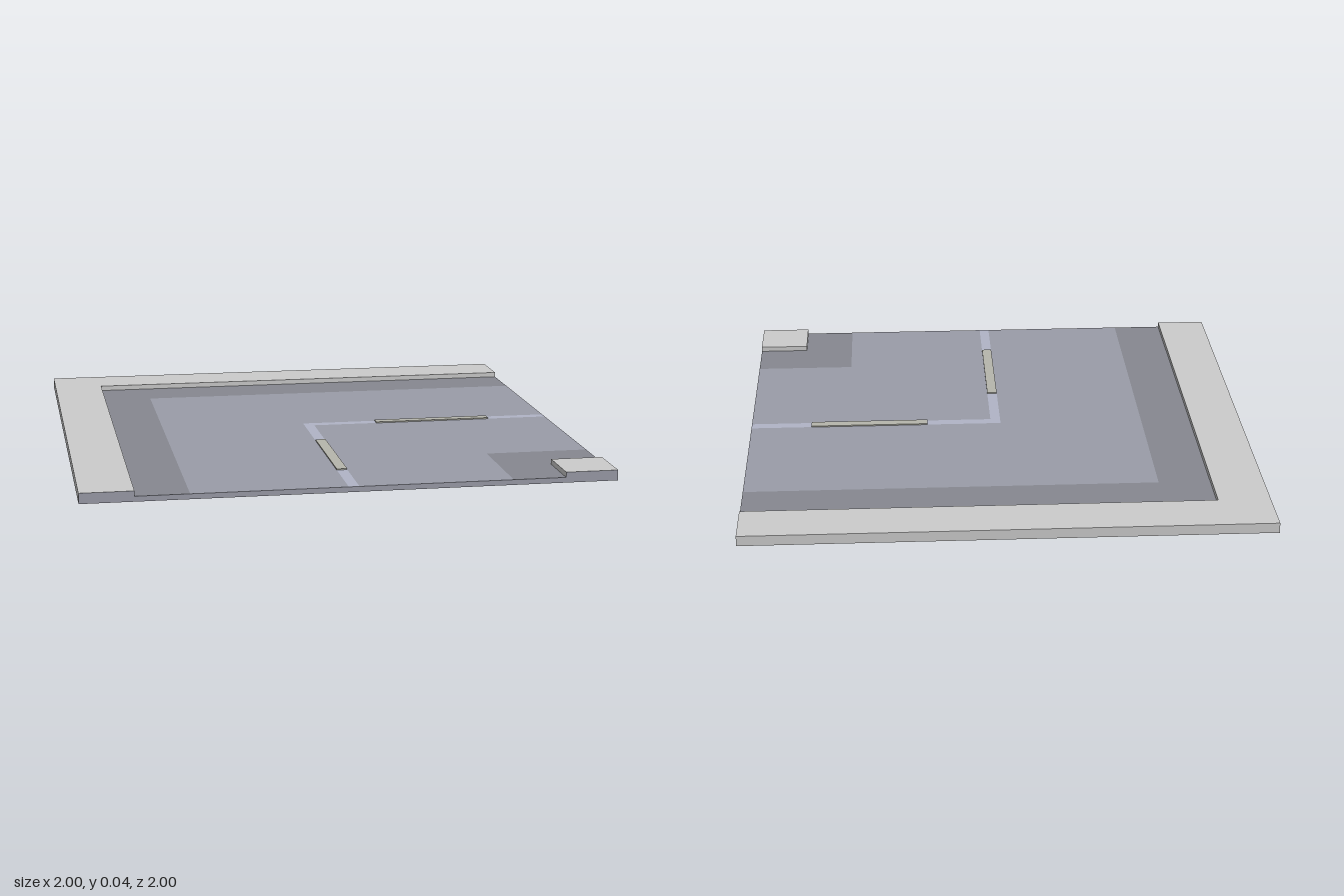
import * as THREE from 'three';

const mat = (color) => new THREE.MeshStandardMaterial({ color });

export function createModel() {
  const model = new THREE.Group();
  const curb = mat(0xc8c6ca), road = mat(0x9a9ca8), gutter = mat(0x868890);
  const paint = mat(0xb0b4c6), dash = mat(0xb6b6ac);

  // Box from its extents; material may be one per side (+x, -x, +y, -y, +z, -z)
  function slab(name, [x0, x1], [y0, y1], [z0, z1], material) {
    const mesh = new THREE.Mesh(new THREE.BoxGeometry(x1 - x0, y1 - y0, z1 - z0), material);
    mesh.position.set((x0 + x1) / 2, (y0 + y1) / 2, (z0 + z1) / 2);
    mesh.name = name;
    model.add(mesh);
  }

  // Flat bend, open towards +x and +z: runs from lo to hi across the lane
  function bend(name, lo, hi, y, material) {
    const pts = [[lo, lo], [1, lo], [1, hi], [hi, hi], [hi, 1], [lo, 1]];
    const shape = new THREE.Shape(pts.map(([x, z]) => new THREE.Vector2(x, -z)));
    const mesh = new THREE.Mesh(new THREE.ShapeGeometry(shape).rotateX(-Math.PI / 2), material);
    mesh.position.y = y;
    mesh.name = name;
    model.add(mesh);
  }

  // Road bed: dark gutter surface, with the lane bend and centre line on top
  slab('roadBed', [-0.8, 1], [0, 0.02], [-0.8, 1], [road, road, gutter, curb, road, road]);
  bend('laneSurface', -0.6, 0.6, 0.0203, road);
  bend('centreLine', -0.02, 0.02, 0.0206, paint);

  // Raised sidewalks; the cut ends match the road
  slab('leftSidewalk', [-1, -0.8], [0, 0.04], [-1, 1], [curb, curb, curb, curb, road, curb]);
  slab('backSidewalk', [-0.8, 1], [0, 0.04], [-1, -0.8], [road, curb, curb, curb, curb, curb]);
  slab('cornerSidewalk', [0.8, 1], [0.02, 0.04], [0.8, 1], [road, curb, curb, curb, road, curb]);

  // Raised lane markers, one on each arm of the bend
  slab('laneMarkerSide', [0.28, 0.755], [0.02, 0.025], [-0.02, 0.02], dash);
  slab('laneMarkerFront', [-0.02, 0.02], [0.02, 0.025], [0.28, 0.755], dash);

  return model;
}
